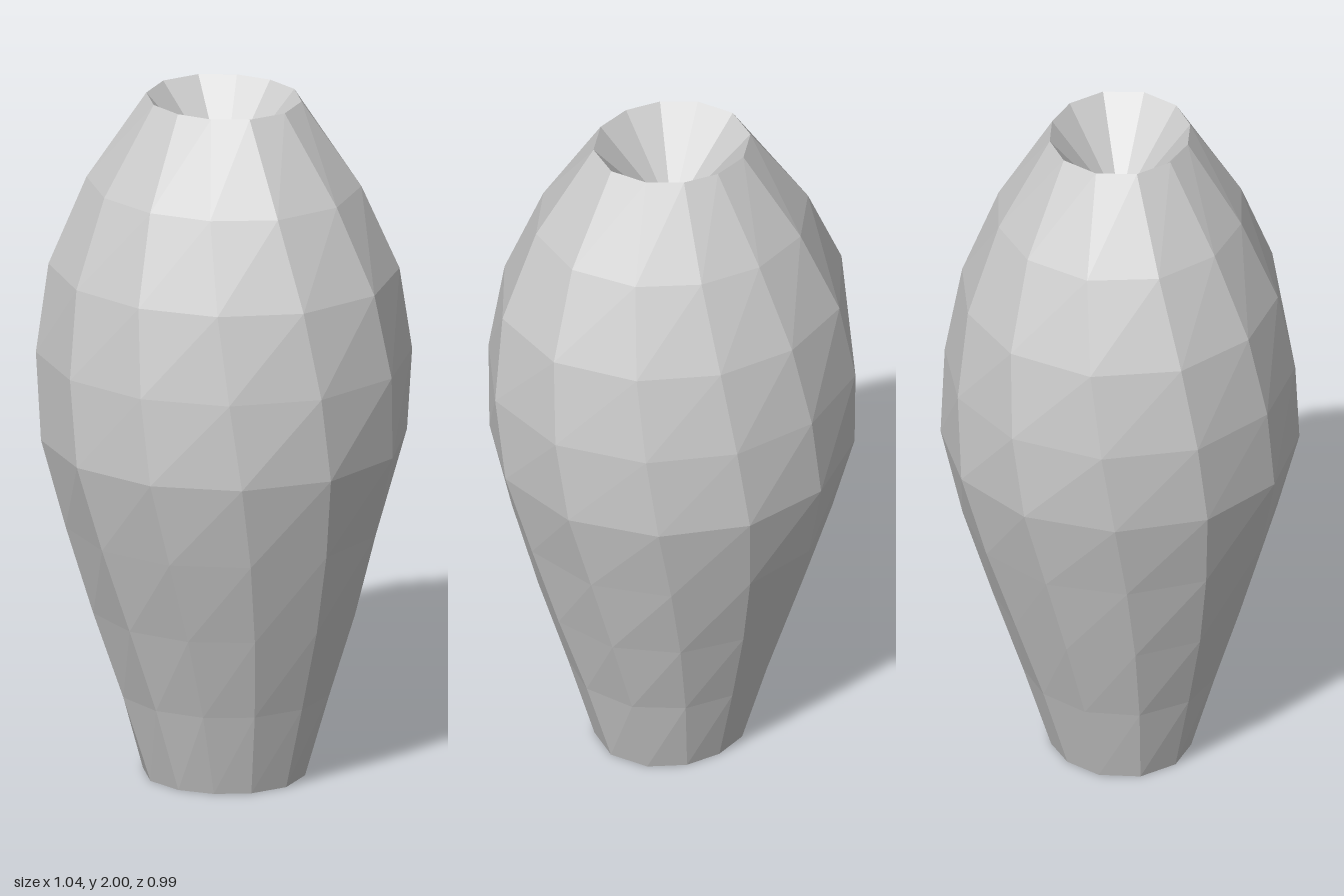
import * as THREE from 'three';

const SIDES = 12;
const STEP = 0.25;     // height between rings
const TWIST = 0.28;    // radians of twist per unit of height
const DEPTH = 0.25;    // depth of the conical hollows at both ends

// mean radius and ovalness of each ring, from the foot to the rim
const RINGS = [
  [0.215, 0.07], [0.29, 0.045], [0.372, 0.03], [0.448, 0.012], [0.512, 0.015],
  [0.515, 0.04], [0.475, 0.055], [0.372, 0.06], [0.212, 0.06],
];

// corner k of ring i: a twisted, slightly oval twelve-sided section
function corner(i, k) {
  const y = i * STEP;
  const local = (k / SIDES) * Math.PI * 2;
  const [radius, oval] = RINGS[i];
  const r = radius * (1 + oval * Math.cos(2 * (local + 0.09 * y)));
  const a = local + TWIST * y;
  return [r * Math.cos(a), y, r * Math.sin(a)];
}

function facetedMesh(name, positions, indices, material) {
  const geometry = new THREE.BufferGeometry();
  geometry.setAttribute('position', new THREE.Float32BufferAttribute(positions, 3));
  geometry.setIndex(indices);
  const faceted = geometry.toNonIndexed();
  faceted.computeVertexNormals();
  const mesh = new THREE.Mesh(faceted, material);
  mesh.name = name;
  return mesh;
}

// twisted wall joining all the rings
function createWall(material) {
  const positions = [], indices = [];
  RINGS.forEach((_, i) => {
    for (let k = 0; k < SIDES; k++) positions.push(...corner(i, k));
  });
  for (let i = 0; i < RINGS.length - 1; i++) {
    for (let k = 0; k < SIDES; k++) {
      const next = (k + 1) % SIDES;
      const a = i * SIDES + k, b = i * SIDES + next;
      const c = a + SIDES, d = b + SIDES;
      indices.push(b, a, c, b, c, d);
    }
  }
  return facetedMesh('vaseWall', positions, indices, material);
}

// conical hollow sunk into one end
function createHollow(name, ring, apexY, facesUp, material) {
  const positions = [0, apexY, 0], indices = [];
  for (let k = 0; k < SIDES; k++) {
    positions.push(...corner(ring, k));
    const a = k + 1, b = ((k + 1) % SIDES) + 1;
    indices.push(0, ...(facesUp ? [b, a] : [a, b]));
  }
  return facetedMesh(name, positions, indices, material);
}

export function createModel() {
  const material = new THREE.MeshStandardMaterial({ color: 0xcccccc, flatShading: true });
  const last = RINGS.length - 1;
  const vase = new THREE.Group();
  vase.name = 'vase';
  vase.add(
    createWall(material),
    createHollow('mouthHollow', last, last * STEP - DEPTH, true, material),
    createHollow('footHollow', 0, DEPTH, false, material),
  );
  return vase;
}
